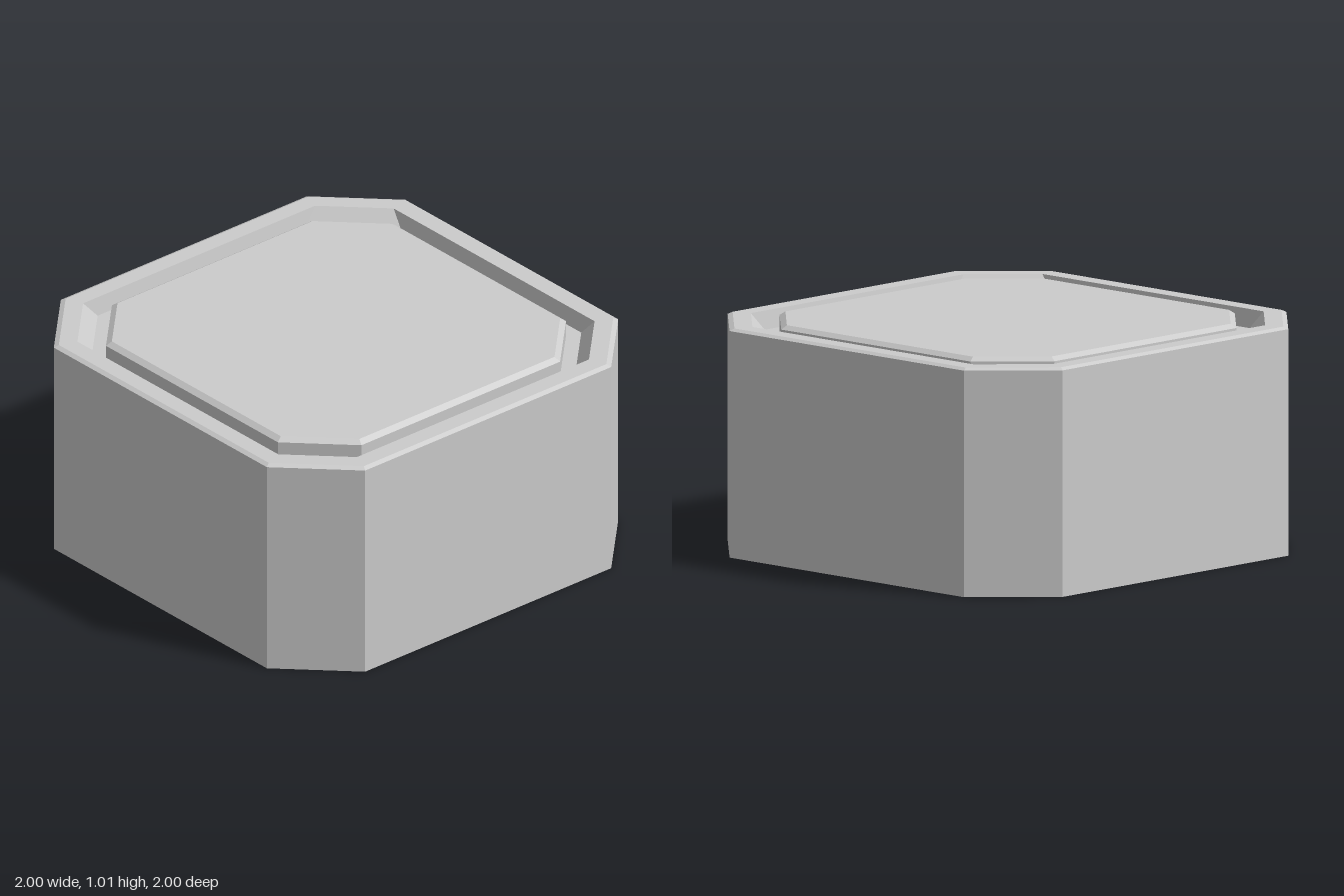
import * as THREE from 'three';

// Eight corners of a square with cut corners: half width a, cut starting at b.
const octagon = (a, b, y) =>
  [[a, b], [b, a], [-b, a], [-a, b], [-a, -b], [-b, -a], [b, -a], [a, -b]].map(([x, z]) => [x, y, z]);

// Joins successive octagon rings [a, b, y] with flat quads; a zero ring closes a cap.
function loft(rings) {
  const loops = rings.map((r) => octagon(...r));
  const pos = [];
  for (let k = 0; k < loops.length - 1; k++) {
    for (let i = 0; i < 8; i++) {
      const j = (i + 1) % 8;
      const p = loops[k][i], q = loops[k][j], r = loops[k + 1][j], s = loops[k + 1][i];
      if (rings[k][0] > 0) pos.push(...p, ...s, ...q);
      if (rings[k + 1][0] > 0) pos.push(...q, ...s, ...r);
      else if (rings[k][0] === 0) continue;
    }
  }
  const g = new THREE.BufferGeometry();
  g.setAttribute('position', new THREE.Float32BufferAttribute(pos, 3));
  g.computeVertexNormals();
  return g;
}

export function createModel() {
  const group = new THREE.Group();
  const material = new THREE.MeshStandardMaterial({ color: 0xcccccc, flatShading: true });
  const add = (name, rings) => {
    const mesh = new THREE.Mesh(loft(rings), material);
    mesh.name = name;
    group.add(mesh);
  };

  // Housing: underside, walls, bevelled rim, sloped recess and its floor
  add('housing', [
    [0, 0, 0],
    [1, 0.7, 0],
    [1, 0.7, 0.99],
    [0.98, 0.69, 1],
    [0.9, 0.66, 1],
    [0.885, 0.59, 0.92],
    [0, 0, 0.92],
  ]);

  // Raised top panel with a small bevel, standing in the recess
  add('topPanel', [
    [0.82, 0.565, 0.92],
    [0.82, 0.565, 0.99],
    [0.795, 0.555, 1.007],
    [0, 0, 1.007],
  ]);

  return group;
}
